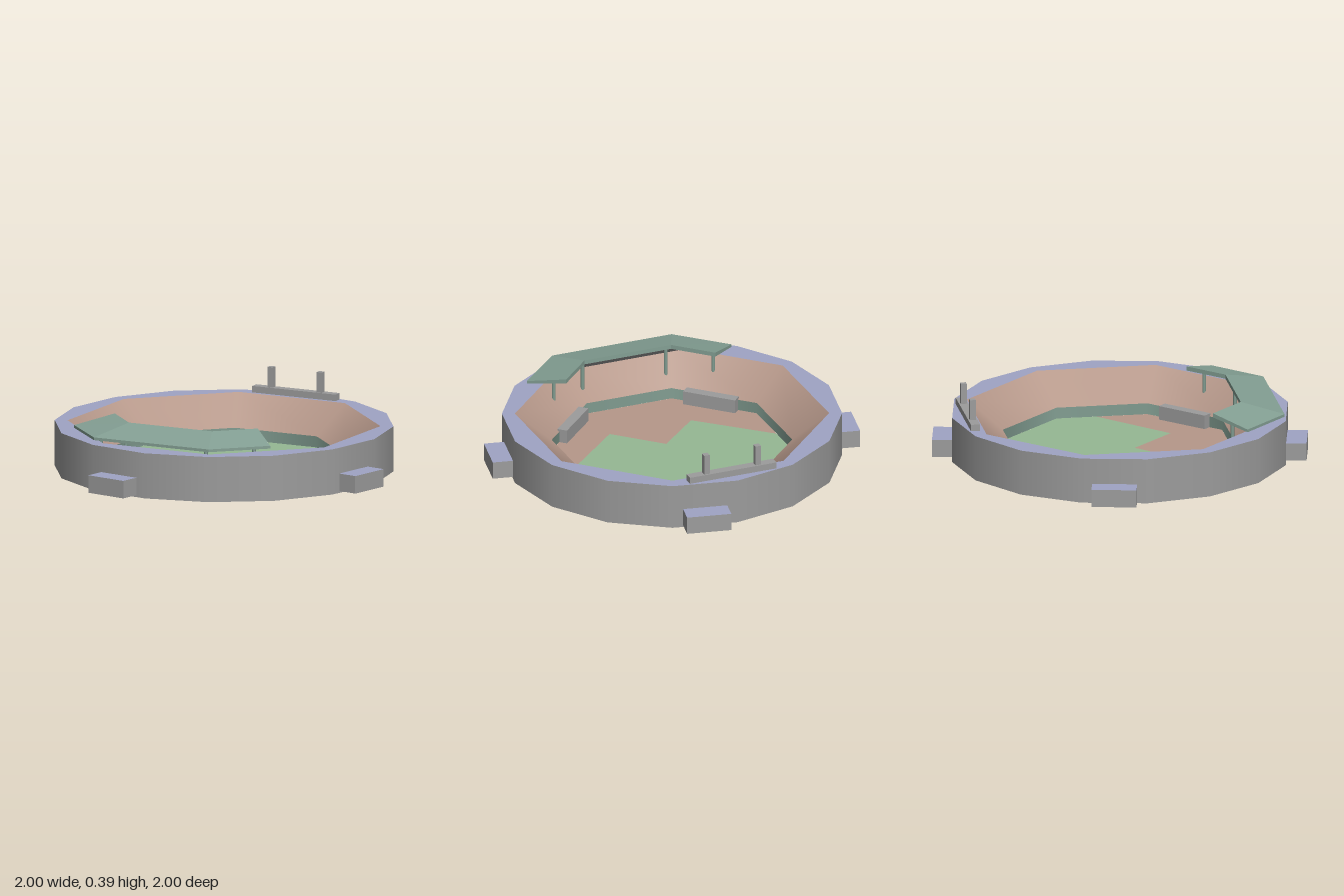
import * as THREE from 'three';

const mat = (name, color, side = THREE.FrontSide) => {
  const m = new THREE.MeshStandardMaterial({ color, side });
  m.name = name;
  return m;
};

export function createModel() {
  const group = new THREE.Group();
  group.name = 'stadium';

  const grey = mat('concrete grey', 0x9c9c9c);
  const lavender = mat('walkway lavender', 0xa0a4c4);
  const green = mat('grass green', 0x96b894);
  const clay = mat('clay brown', 0xb6988a, THREE.DoubleSide);
  const teal = mat('fence teal', 0x84a094, THREE.DoubleSide);

  const RIM = 0.245, FLOOR = 0.03, FENCE = 0.09;
  const R_OUT = 0.905, R_BOWL = 0.836, R_FIELD = 0.64;

  const add = (name, geometry, material, x = 0, y = 0, z = 0, turn = 0) => {
    const mesh = new THREE.Mesh(geometry, material);
    mesh.name = name;
    mesh.position.set(x, y, z);
    mesh.rotation.y = turn;
    group.add(mesh);
    return mesh;
  };
  const ngon = (n, r, start) => Array.from({ length: n }, (_, i) => {
    const a = start + (i / n) * Math.PI * 2;
    return new THREE.Vector2(r * Math.cos(a), r * Math.sin(a));
  });
  // Flat horizontal plate from plan points [x, z]
  const plan = (pts) => new THREE.ShapeGeometry(
    new THREE.Shape(pts.map(([x, z]) => new THREE.Vector2(x, -z)))).rotateX(-Math.PI / 2);
  // Inward-facing eight-sided band from (r0, y0) down to (r1, y1)
  const band = (r0, y0, r1, y1) => new THREE.LatheGeometry(
    [new THREE.Vector2(r0, y0), new THREE.Vector2(r1, y1)], 8, Math.PI / 8);

  // Outer shell: wall, underside and walkway ring
  add('outerWall', new THREE.CylinderGeometry(R_OUT, R_OUT, RIM, 16, 1, true), grey, 0, RIM / 2);
  add('underside', new THREE.CircleGeometry(R_OUT, 16).rotateX(Math.PI / 2), grey);
  const ring = new THREE.Shape(ngon(16, R_OUT, 0));
  ring.holes.push(new THREE.Path(ngon(8, R_BOWL, Math.PI / 8)));
  add('walkway', new THREE.ShapeGeometry(ring).rotateX(-Math.PI / 2), lavender, 0, RIM);

  // Seating bowl and fence around the field
  add('stands', band(R_BOWL, RIM, R_FIELD, FENCE), clay);
  add('fieldFence', band(R_FIELD, FENCE, R_FIELD, FLOOR), teal);

  // Playing field: grass at the back, clay at the front, with a zigzag boundary
  const zigzag = [[-0.591, -0.03], [-0.235, 0.3], [0, 0.08], [0.23, 0.31], [0.591, -0.03]];
  add('grass', plan([...zigzag, [0.591, -0.245], [0.245, -0.591], [-0.245, -0.591],
    [-0.591, -0.245]]), green, 0, FLOOR);
  add('infield', plan([...zigzag, [0.591, 0.245], [0.245, 0.591], [-0.245, 0.591],
    [-0.591, 0.245]]), clay, 0, FLOOR);

  // Four entrance blocks on the outer wall
  for (let i = 0; i < 4; i++) {
    const a = -Math.PI / 16 + i * Math.PI / 2;
    const r = 0.937;
    add('entranceBlock', new THREE.BoxGeometry(0.24, 0.095, 0.12),
      [grey, grey, lavender, grey, grey, grey], r * Math.sin(a), 0.0575, r * Math.cos(a), a);
  }

  // Scoreboard base with two posts on the back rim
  add('scoreboardBase', new THREE.BoxGeometry(0.5, 0.035, 0.05), grey, 0, RIM + 0.0175, -0.82);
  for (const s of [-1, 1]) {
    add('scoreboardPost', new THREE.BoxGeometry(0.032, 0.115, 0.032), grey, s * 0.148, 0.3325, -0.82);
    // Dugouts and canopy posts, mirrored
    add('dugout', new THREE.BoxGeometry(0.3, 0.075, 0.055), grey,
      s * 0.398, FLOOR + 0.0375, 0.415, s * Math.PI / 4);
    add('canopyPost', new THREE.CylinderGeometry(0.01, 0.01, 0.12, 6), teal, s * 0.46, 0.235, 0.53);
    add('canopyPost', new THREE.CylinderGeometry(0.01, 0.01, 0.16, 6), teal, s * 0.24, 0.22, 0.66);
  }

  // Canopy: four cross-sections joined into a folded, sloping slab
  const stations = [
    [-0.59, 0.59, -0.43, 0.43], [-0.345, 0.83, -0.25, 0.61],
    [0.345, 0.83, 0.25, 0.61], [0.59, 0.59, 0.43, 0.43],
  ].map(([ox, oz, ix, iz]) => [
    [ox, 0.285, oz], [ix, 0.335, iz], [ix, 0.312, iz], [ox, 0.27, oz],
  ]);
  const pos = [];
  const quad = (a, b, c, d) => pos.push(...a, ...b, ...c, ...a, ...c, ...d);
  for (let i = 0; i < 3; i++) {
    for (let k = 0; k < 4; k++) {
      const n = (k + 1) % 4;
      quad(stations[i][k], stations[i + 1][k], stations[i + 1][n], stations[i][n]);
    }
  }
  quad(...stations[0]);
  quad(...[...stations[3]].reverse());
  const canopy = new THREE.BufferGeometry();
  canopy.setAttribute('position', new THREE.Float32BufferAttribute(pos, 3));
  canopy.computeVertexNormals();
  add('canopy', canopy, teal);

  // Wedge beam under the canopy
  const wedge = new THREE.Shape([[-0.82, 0.272], [-0.7, 0.25], [-0.66, 0.29]]
    .map(([x, y]) => new THREE.Vector2(x, y)));
  const beam = new THREE.ExtrudeGeometry(wedge, { depth: 0.68, bevelEnabled: false });
  add('canopyBeam', beam.translate(0, 0, -0.34).rotateY(Math.PI / 2), grey);

  return group;
}
